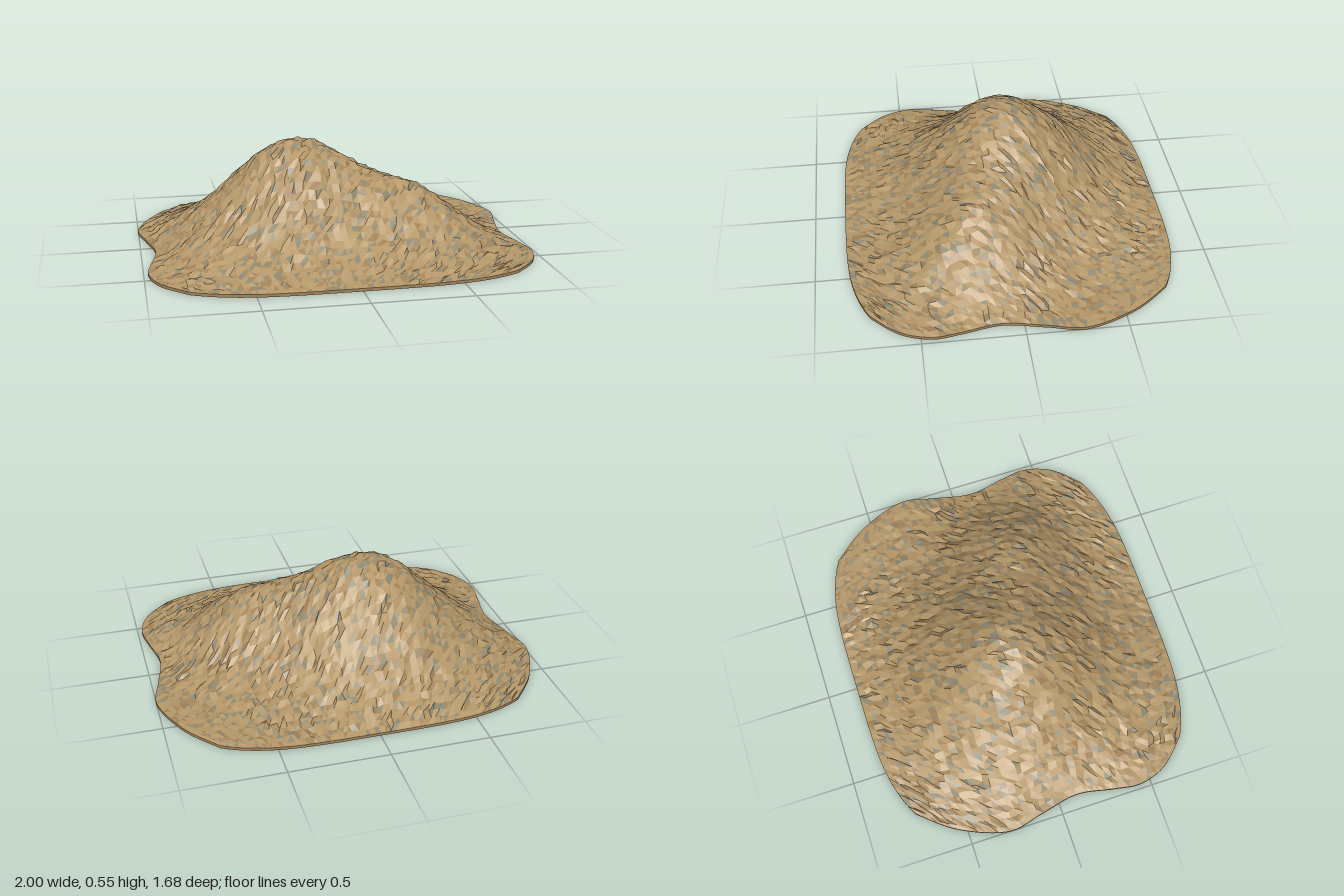
import * as THREE from 'three';

const COLS = 60, ROWS = 46, RIM = 0.015;

// Repeatable noise in 0..1
function makeRandom(seed) {
  return () => {
    seed = (seed * 1664525 + 1013904223) % 4294967296;
    return seed / 4294967296;
  };
}

// Half width of the footprint from back (v = -1) to front (v = 1), with a waist
const sideCurve = new THREE.SplineCurve([
  [-1, 0.76], [-0.75, 0.905], [-0.41, 1.0], [-0.14, 0.965], [0.14, 0.926],
  [0.41, 0.96], [0.61, 0.978], [0.82, 0.925], [1, 0.8],
].map(([v, w]) => new THREE.Vector2(v, w)));
const sidePoints = sideCurve.getPoints(200);

function halfWidth(v) {
  for (let k = 1; k < sidePoints.length; k++) {
    const a = sidePoints[k - 1], b = sidePoints[k];
    if (v <= b.x) return THREE.MathUtils.mapLinear(v, a.x, b.x, a.y, b.y);
  }
  return sidePoints[sidePoints.length - 1].y;
}
const halfDepth = (u) => 0.842 - 0.107 * u ** 4;

const hump = (x, z, cx, cz, sx, sz, h) =>
  h * Math.exp(-0.5 * (((x - cx) / sx) ** 2 + ((z - cz) / sz) ** 2));

// Main peak plus a lower shoulder, fading out at the rim
function height(x, z, u, v) {
  const fade = 1 - Math.max(Math.abs(u), Math.abs(v)) ** 10;
  const lumps = 0.006 * Math.sin(x * 17 + z * 5) * Math.sin(z * 19 - x * 4);
  const h = hump(x, z, -0.17, -0.03, 0.35, 0.335, 0.53)
    + hump(x, z, 0.45, 0.2, 0.22, 0.22, 0.21) + lumps;
  return h * fade;
}

function gridPoint(i, j, random) {
  const u = (i / COLS) * 2 - 1, v = (j / ROWS) * 2 - 1;
  const x = u * halfWidth(v), z = v * halfDepth(u);
  const edge = i === 0 || j === 0 || i === COLS || j === ROWS;
  if (edge) return new THREE.Vector3(x, RIM, z);
  const shake = () => random() - 0.5;
  const y = RIM + Math.max(0.004, height(x, z, u, v) + shake() * 0.016);
  return new THREE.Vector3(x + shake() * 0.016, y, z + shake() * 0.016);
}

export function createModel() {
  const group = new THREE.Group();
  group.name = 'dirtMound';
  const random = makeRandom(7);

  const points = [];
  for (let j = 0; j <= ROWS; j++) {
    points.push([]);
    for (let i = 0; i <= COLS; i++) points[j].push(gridPoint(i, j, random));
  }

  // Facets are shared out between three earth tones
  const tones = [
    { name: 'sandFacets', color: 0xb5986a, upTo: 0.72, verts: [] },
    { name: 'brownFacets', color: 0xa38459, upTo: 0.87, verts: [] },
    { name: 'greyFacets', color: 0x8f8870, upTo: 1, verts: [] },
  ];
  const addFacet = (...corners) => {
    const pick = random();
    const tone = tones.find((t) => pick < t.upTo);
    for (const p of corners) tone.verts.push(p.x, p.y, p.z);
  };
  for (let j = 0; j < ROWS; j++) {
    for (let i = 0; i < COLS; i++) {
      const a = points[j][i], b = points[j][i + 1];
      const c = points[j + 1][i], d = points[j + 1][i + 1];
      addFacet(a, c, b);
      addFacet(b, c, d);
    }
  }
  for (const { name, color, verts } of tones) {
    const geometry = new THREE.BufferGeometry();
    geometry.setAttribute('position', new THREE.Float32BufferAttribute(verts, 3));
    geometry.computeVertexNormals();
    const mesh = new THREE.Mesh(geometry, new THREE.MeshStandardMaterial({ color, flatShading: true }));
    mesh.name = name;
    group.add(mesh);
  }

  // Thin slab under the mound, following the rim
  const rim = [];
  for (let i = 0; i < COLS; i++) rim.push(points[0][i]);
  for (let j = 0; j < ROWS; j++) rim.push(points[j][COLS]);
  for (let i = COLS; i > 0; i--) rim.push(points[ROWS][i]);
  for (let j = ROWS; j > 0; j--) rim.push(points[j][0]);
  const outline = new THREE.Shape(rim.map((p) => new THREE.Vector2(p.x, p.z)));
  const slab = new THREE.ExtrudeGeometry(outline, { depth: RIM, bevelEnabled: false });
  slab.rotateX(Math.PI / 2).translate(0, RIM, 0);
  const base = new THREE.Mesh(slab, new THREE.MeshStandardMaterial({ color: 0xa38459, flatShading: true }));
  base.name = 'base';
  group.add(base);

  return group;
}
